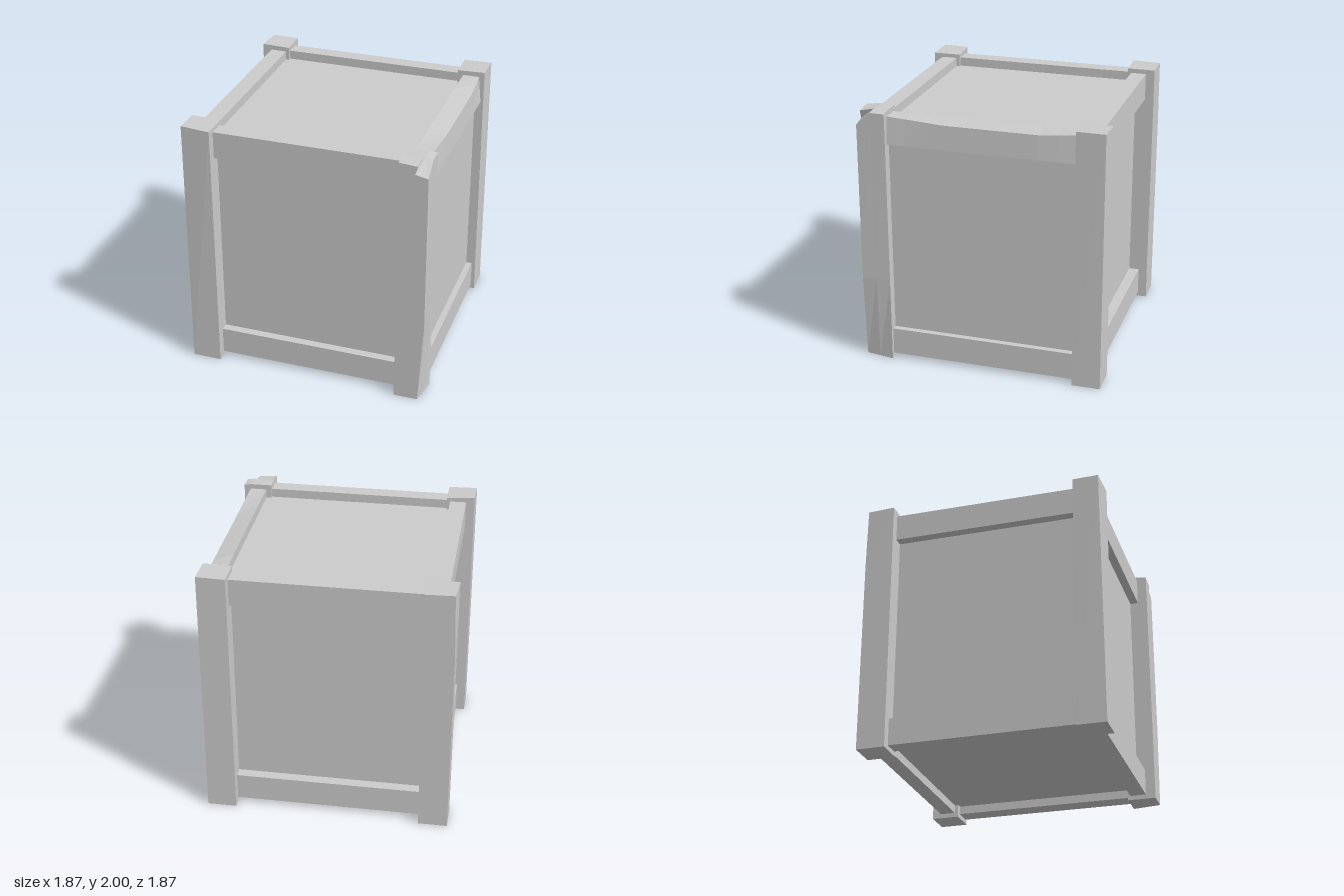
import * as THREE from 'three';
import { ConvexGeometry } from 'three/addons/geometries/ConvexGeometry.js';

const material = new THREE.MeshStandardMaterial({ color: 0xcccccc, flatShading: true });

function addMesh(group, name, geometry) {
  const mesh = new THREE.Mesh(geometry, material);
  mesh.name = name;
  group.add(mesh);
  return mesh;
}

// Box given by its lower and upper limits
function addBox(group, name, [x0, y0, z0], [x1, y1, z1], segments = [1, 1, 1]) {
  const geometry = new THREE.BoxGeometry(x1 - x0, y1 - y0, z1 - z0, ...segments);
  geometry.translate((x0 + x1) / 2, (y0 + y1) / 2, (z0 + z1) / 2);
  return addMesh(group, name, geometry);
}

// Slightly worn post, spanned by its corner points
function addPost(group, name, points) {
  return addMesh(group, name, new ConvexGeometry(points.map((p) => new THREE.Vector3(...p))));
}

// Post with a notched upper corner and a foot that tapers inwards:
// a chipped front outline that becomes whole further back
function chippedPostGeometry() {
  const outline = [
    [0.715, 0], [0.9, 0], [0.937, 0.66], [0.932, 1.89],
    [0.835, 1.91], [0.855, 1.975], [0.715, 1.985],
  ].map((p) => new THREE.Vector2(...p));
  const depth = 0.222;
  const geometry = new THREE.ExtrudeGeometry(new THREE.Shape(outline), { depth, steps: 2, bevelEnabled: false });
  const position = geometry.attributes.position;
  for (let i = 0; i < position.count; i++) {
    const x = position.getX(i), y = position.getY(i);
    const back = 1 - position.getZ(i) / depth;
    if (back < 0.01) continue;
    if (x > 0.89) position.setX(i, x + (0.937 - x) * back);
    else if (y > 1.9 && y < 1.95) position.setX(i, 0.88);
    if (y > 1.8) position.setY(i, x > 0.89 ? 1.99 : 1.998);
  }
  geometry.translate(0, 0, 0.71);
  geometry.computeVertexNormals();
  return geometry;
}

export function createModel() {
  const crate = new THREE.Group();
  crate.name = 'crate';

  // Inner box whose faces form the recessed panels
  addBox(crate, 'panels', [-0.79, 0.1, -0.79], [0.86, 1.89, 0.79]);

  // Top and bottom rails between the posts
  const levels = [['bottom', 0.035, 0.245], ['top', 1.75, 1.96]];
  for (const [level, y0, y1] of levels) {
    addBox(crate, level + 'FrontRail', [-0.73, y0, 0.73], [0.73, y1, 0.855]);
    addBox(crate, level + 'BackRail', [-0.73, y0, -0.87], [0.73, y1, -0.75]);
    addBox(crate, level + 'RightRail', [-0.865, y0, -0.74], [-0.738, y1, 0.72]);
  }
  addBox(crate, 'bottomLeftRail', [0.757, 0.035, -0.74], [0.907, 0.245, 0.72]);

  // Worn rail: its upper outer edge sags between the ends
  const worn = addBox(crate, 'topLeftRail', [0.757, 1.75, -0.73], [0.907, 1.96, 0.72], [1, 1, 10]);
  const position = worn.geometry.attributes.position;
  for (let i = 0; i < position.count; i++) {
    if (position.getX(i) < 0.88 || position.getY(i) < 1.9) continue;
    const z = position.getZ(i);
    const sag = Math.min(1, (z + 0.73) / 0.28, (0.72 - z) / 0.45);
    position.setX(i, 0.885 + 0.012 * sag);
    position.setY(i, 1.96 - 0.025 * sag);
  }
  worn.geometry.computeVertexNormals();

  // Corner posts with small leans and nicks
  addPost(crate, 'frontRightPost', [
    [-0.936, 0, 0.925], [-0.712, 0, 0.925], [-0.936, 0, 0.705], [-0.712, 0, 0.705],
    [-0.937, 2, 0.91], [-0.712, 1.99, 0.922], [-0.932, 2, 0.71], [-0.712, 1.99, 0.705],
  ]);
  addPost(crate, 'backRightPost', [
    [-0.935, 0, -0.94], [-0.712, 0, -0.94], [-0.935, 0, -0.722], [-0.712, 0, -0.722],
    [-0.937, 1.5, -0.94], [-0.922, 2, -0.94], [-0.712, 1.995, -0.94],
    [-0.936, 2, -0.725], [-0.712, 1.995, -0.722],
  ]);
  addPost(crate, 'backLeftPost', [
    [0.937, 0, -0.94], [0.714, 0, -0.94], [0.937, 0, -0.722], [0.714, 0, -0.722],
    [0.932, 2, -0.94], [0.714, 1.995, -0.94], [0.928, 2, -0.722], [0.714, 1.995, -0.722],
  ]);
  addMesh(crate, 'frontLeftPost', chippedPostGeometry());

  return crate;
}
